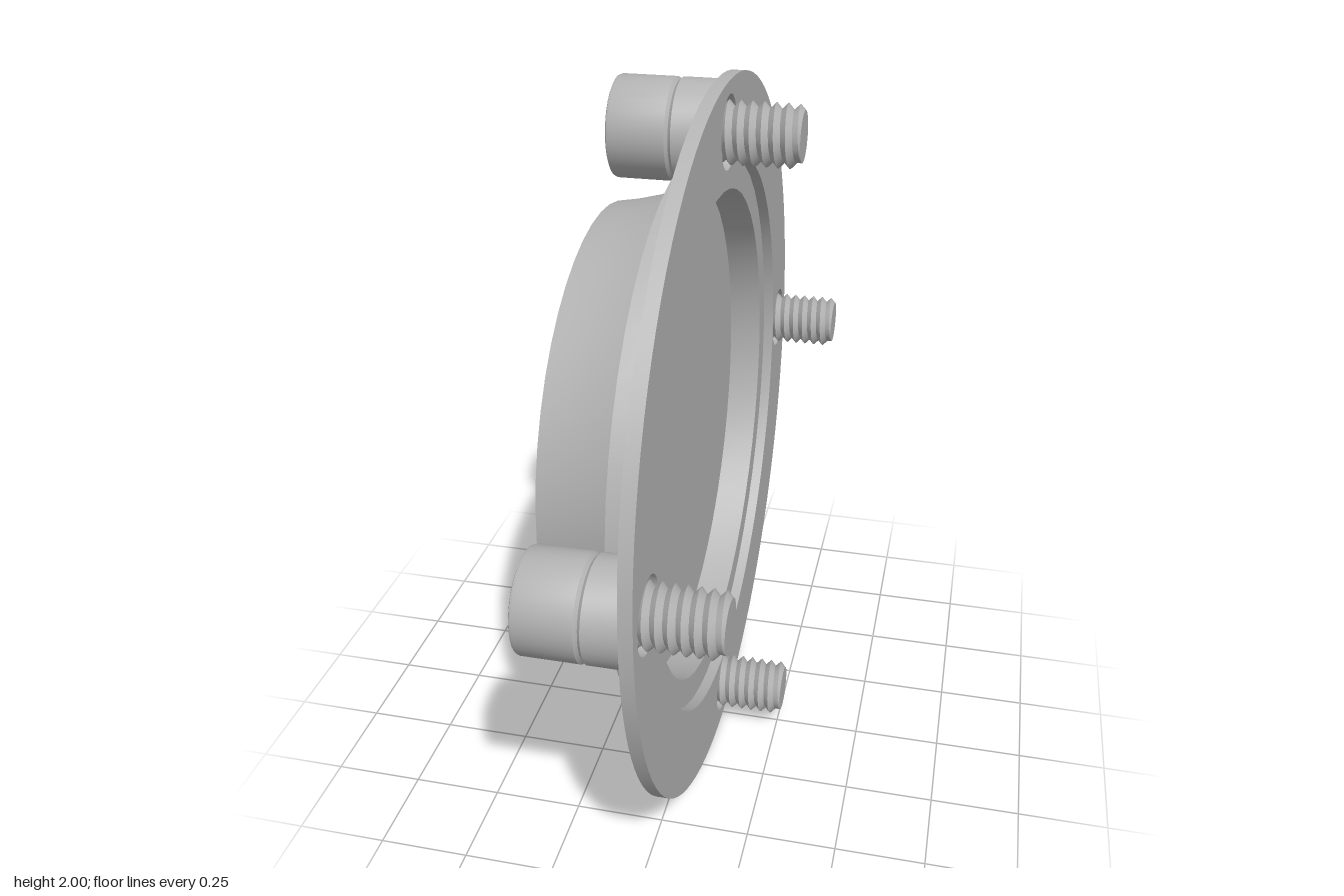
import * as THREE from 'three';
import { toCreasedNormals } from 'three/addons/utils/BufferGeometryUtils.js';

const BOLT_CIRCLE = 0.87, HOLE = 0.095;
const HEAD_X = -0.215, SEAT_X = -0.055, FLANGE_X = 0.04, FACE_X = 0.075, TIP_X = 0.265;

// Revolve a [radius, x] profile about the x axis
function revolve(profile, segments) {
  const g = new THREE.LatheGeometry(profile.map(([r, x]) => new THREE.Vector2(r, x)), segments);
  return toCreasedNormals(g.rotateZ(-Math.PI / 2), 0.5);
}

// Extrude a shape drawn in the z-y plane along x
function extrudeX(shape, x, depth, curveSegments) {
  const g = new THREE.ExtrudeGeometry(shape, { depth, bevelEnabled: false, curveSegments });
  return toCreasedNormals(g.translate(0, 0, x).rotateY(Math.PI / 2), 0.5);
}

function circle(Type, x, y, r) {
  return new Type().absarc(x, y, r, 0, Math.PI * 2, false);
}

// Helical V thread: a zigzag lathe sheared along its axis by the turn angle
function threadGeometry() {
  const pitch = 0.03, minor = 0.065, major = 0.081, segments = 32;
  const rows = [];
  for (let i = -2, x = 0; x < TIP_X + pitch; i++) {
    x = SEAT_X + i * pitch / 2;
    rows.push(new THREE.Vector2(i % 2 ? major : minor, x));
  }
  const g = new THREE.LatheGeometry(rows, segments);
  const p = g.attributes.position;
  for (let i = 0; i < p.count; i++) {
    const turn = Math.floor(i / rows.length) / segments;
    const y = THREE.MathUtils.clamp(p.getY(i) + turn * pitch, SEAT_X, TIP_X);
    const r = Math.hypot(p.getX(i), p.getZ(i));
    const k = Math.min(r, minor + TIP_X - y) / r;
    p.setXYZ(i, p.getX(i) * k, y, p.getZ(i) * k);
  }
  return toCreasedNormals(g.rotateZ(-Math.PI / 2), 0.6);
}

export function createModel() {
  const steel = new THREE.MeshStandardMaterial({ color: 0xb4b4b4 });
  steel.name = 'steel grey';
  const model = new THREE.Group();
  model.name = 'boltedCover';
  const add = (parent, name, geometry) => {
    const m = new THREE.Mesh(geometry, steel);
    m.name = name;
    parent.add(m);
    return m;
  };

  // Thin flange with a large opening and four bolt holes
  const plate = circle(THREE.Shape, 0, 0, 1);
  plate.holes.push(circle(THREE.Path, 0, 0, 0.77));
  for (let k = 0; k < 4; k++) {
    const a = k * Math.PI / 2;
    plate.holes.push(circle(THREE.Path, BOLT_CIRCLE * Math.cos(a), BOLT_CIRCLE * Math.sin(a), HOLE));
  }
  add(model, 'flange', extrudeX(plate, FLANGE_X, FACE_X - FLANGE_X, 48));

  // Flared cap, stepped collar and shallow recess in one profile
  add(model, 'cap', revolve([
    [0, -0.27], [0.635, -0.27], [0.645, -0.21], [0.66, -0.15], [0.676, -0.1], [0.693, SEAT_X],
    [0.77, SEAT_X], [0.77, 0.045], [0.69, 0.045], [0.69, -0.05], [0, -0.05],
  ], 48));

  // Shared bolt geometries, centred on the x axis
  const spacer = revolve([
    [HOLE, SEAT_X], [0.122, SEAT_X], [0.13, SEAT_X + 0.008], [0.13, FLANGE_X], [HOLE, FLANGE_X], [HOLE, SEAT_X],
  ], 32);
  const head = revolve([
    [0.12, HEAD_X], [0.127, HEAD_X + 0.003], [0.13, HEAD_X + 0.01],
    [0.13, SEAT_X - 0.008], [0.122, SEAT_X], [0, SEAT_X],
  ], 32);
  const rim = circle(THREE.Shape, 0, 0, 0.12);
  const hex = [];
  for (let k = 0; k < 6; k++) {
    const a = Math.PI / 2 + k * Math.PI / 3;
    hex.push(new THREE.Vector2(0.075 * Math.cos(a), 0.075 * Math.sin(a)));
  }
  rim.holes.push(new THREE.Path(hex));
  const socket = extrudeX(rim, HEAD_X, 0.09, 32);
  const socketFloor = new THREE.CircleGeometry(0.08, 24).rotateY(-Math.PI / 2).translate(HEAD_X + 0.09, 0, 0);
  const thread = threadGeometry();
  const tip = new THREE.CircleGeometry(0.065, 32).rotateY(Math.PI / 2).translate(TIP_X, 0, 0);

  // Four socket-head bolts on spacers around the flange
  for (let k = 0; k < 4; k++) {
    const a = k * Math.PI / 2;
    const bolt = new THREE.Group();
    bolt.name = 'bolt' + (k + 1);
    bolt.position.set(0, BOLT_CIRCLE * Math.cos(a), BOLT_CIRCLE * Math.sin(a));
    add(bolt, 'spacer', spacer);
    add(bolt, 'boltHead', head);
    add(bolt, 'hexSocket', socket);
    add(bolt, 'socketFloor', socketFloor);
    add(bolt, 'thread', thread);
    add(bolt, 'boltTip', tip);
    model.add(bolt);
  }

  // Stand the cover on the ground
  model.children.forEach((c) => { c.position.y += 1; });
  return model;
}
